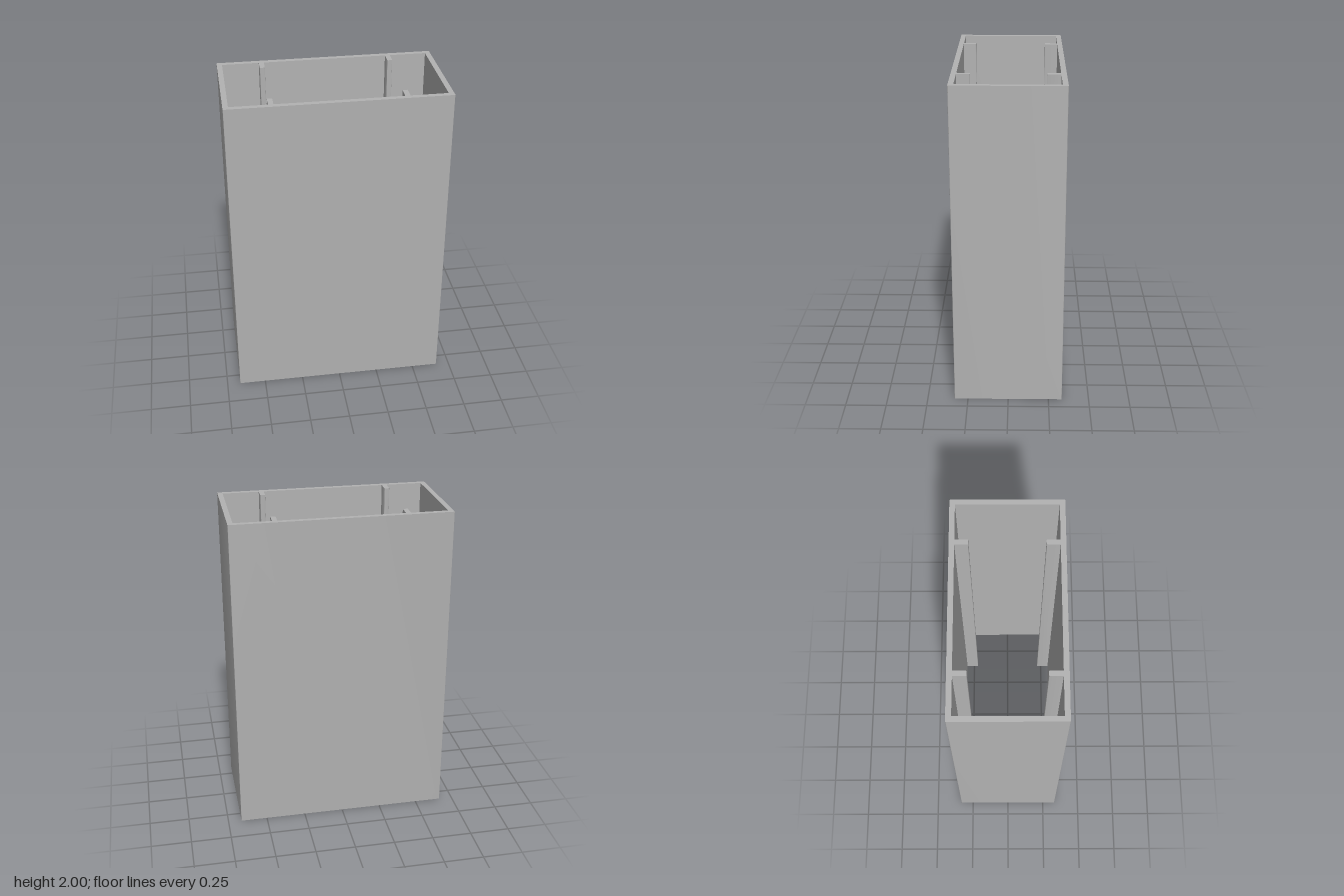
import * as THREE from 'three';
import { toCreasedNormals } from 'three/addons/utils/BufferGeometryUtils.js';

const W = 0.6667, D = 0.3333, H = 2;   // half width, half depth, height
const WALL = 0.032, R = 0.005;         // wall thickness, edge rounding
const RIB_IN = 0.379, RIB_OUT = 0.41, RIB_TIP = 0.222;

// Trace a closed polygon, rounding corners whose third entry is a radius
function trace(path, pts) {
  pts.forEach(([x, y, r = 0], i) => {
    const p = new THREE.Vector2(x, y);
    const toward = (q) => new THREE.Vector2(q[0], q[1]).sub(p).setLength(r).add(p);
    const a = toward(pts[(i + pts.length - 1) % pts.length]);
    const b = toward(pts[(i + 1) % pts.length]);
    if (i === 0) path.moveTo(a.x, a.y); else path.lineTo(a.x, a.y);
    if (r > 0) path.quadraticCurveTo(x, y, b.x, b.y);
  });
  path.closePath();
  return path;
}

export function createModel() {
  const group = new THREE.Group();
  group.name = 'ribbedSleeve';
  const grey = new THREE.MeshStandardMaterial({ color: 0xb2b2b2 });
  grey.name = 'plainGrey';

  // Outer rectangle of the sleeve
  const section = trace(new THREE.Shape(), [[-W, -D, R], [W, -D, R], [W, D, R], [-W, D, R]]);

  // Inner opening, notched by two ribs on each long wall
  const w = W - WALL, d = D - WALL;
  const half = [
    [w, d],
    [RIB_OUT, d], [RIB_OUT, RIB_TIP, R], [RIB_IN, RIB_TIP, R], [RIB_IN, d],
    [-RIB_IN, d], [-RIB_IN, RIB_TIP, R], [-RIB_OUT, RIB_TIP, R], [-RIB_OUT, d],
    [-w, d],
  ];
  const opening = [...half, ...half.map(([x, y, r]) => [-x, -y, r])];
  section.holes.push(trace(new THREE.Path(), opening));

  // Extrude the section up the full height
  const geometry = new THREE.ExtrudeGeometry(section, { depth: H, bevelEnabled: false, curveSegments: 4 });
  geometry.rotateX(-Math.PI / 2);
  const sleeve = new THREE.Mesh(toCreasedNormals(geometry, Math.PI / 5), grey);
  sleeve.name = 'sleeveWallsWithRibs';
  group.add(sleeve);
  return group;
}
